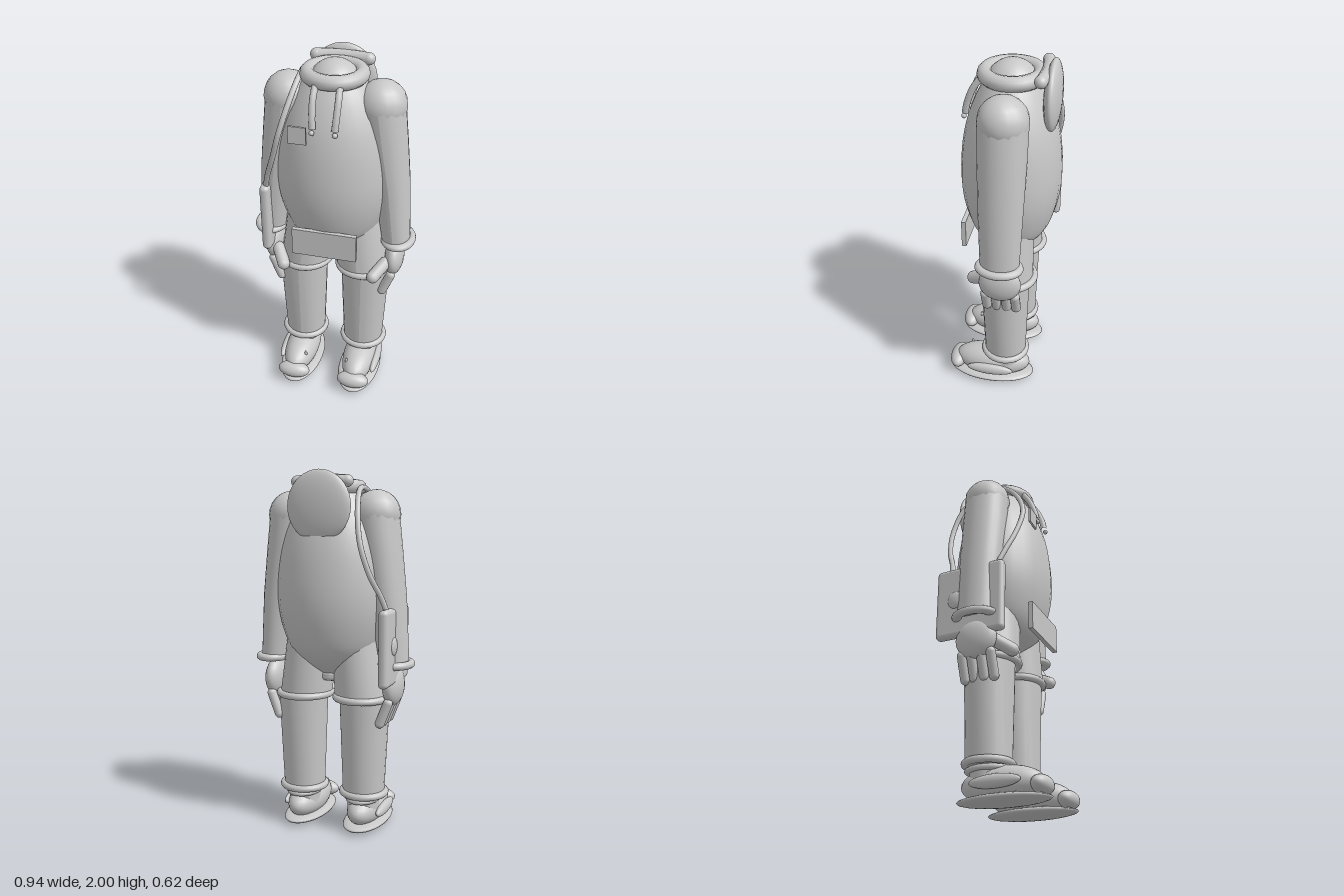
import * as THREE from 'three';
import { RoundedBoxGeometry } from 'three/addons/geometries/RoundedBoxGeometry.js';

export function createModel() {
  const model = new THREE.Group();
  model.name = 'paddedSuit';
  const grey = new THREE.MeshStandardMaterial({ color: 0xc8c8c8 });
  grey.name = 'suitGrey';
  const CZ = -0.037; // depth of the body axis

  const add = (name, geometry, parent = model) => {
    const mesh = new THREE.Mesh(geometry, grey);
    mesh.name = name;
    parent.add(mesh);
    return mesh;
  };

  // Ellipsoid with its own radii along each axis
  const ellipsoid = (name, [x, y, z], [rx, ry, rz], parent, w = 24, h = 16) => {
    const mesh = add(name, new THREE.SphereGeometry(1, w, h), parent);
    mesh.scale.set(rx, ry, rz);
    mesh.position.set(x, y, z);
    return mesh;
  };

  // Flat ring; rx and rz are radii of the tube's centre line
  const ring = (name, [x, y, z], rx, rz, tube, parent) => {
    const g = new THREE.TorusGeometry(rx, tube, 12, 36).rotateX(Math.PI / 2).scale(1, 1, rz / rx);
    add(name, g, parent).position.set(x, y, z);
  };

  // Upright tapered limb through stations [y, centre x, rx, rz], listed from the bottom, capped flat
  const limb = (name, stations, parent) => {
    const first = stations[0], last = stations[stations.length - 1];
    const rows = [[first[0], first[1], 0, 0], first, ...stations, last, [last[0], last[1], 0, 0]];
    const g = new THREE.LatheGeometry(rows.map(r => new THREE.Vector2(1, r[0])), 24);
    const p = g.attributes.position;
    for (let i = 0; i < p.count; i++) {
      const [, cx, rx, rz] = rows[i % rows.length];
      p.setX(i, cx + rx * p.getX(i));
      p.setZ(i, CZ + rz * p.getZ(i));
    }
    g.computeVertexNormals();
    add(name, g, parent);
  };

  // Round-ended rod between two points
  const rod = (name, a, b, r, parent) => {
    const from = new THREE.Vector3(...a), to = new THREE.Vector3(...b);
    const mesh = add(name, new THREE.CapsuleGeometry(r, from.distanceTo(to), 6, 14), parent);
    mesh.position.copy(from).lerp(to, 0.5);
    mesh.quaternion.setFromUnitVectors(new THREE.Vector3(0, 1, 0), to.sub(from).normalize());
  };

  const tube = (name, points, r, n = 20) => {
    const curve = new THREE.CatmullRomCurve3(points.map(p => new THREE.Vector3(...p)));
    add(name, new THREE.TubeGeometry(curve, n, r, 10));
  };

  // Egg-shaped torso
  const profile = new THREE.SplineCurve([
    [0.08, 0.89], [0.17, 0.95], [0.235, 1.02], [0.275, 1.1], [0.308, 1.22], [0.32, 1.35],
    [0.31, 1.5], [0.288, 1.62], [0.255, 1.72], [0.205, 1.82], [0.15, 1.9],
  ].map(p => new THREE.Vector2(...p))).getPoints(30);
  const torso = new THREE.LatheGeometry(
    [new THREE.Vector2(0, 0.89), ...profile, new THREE.Vector2(0, 1.91)], 28);
  add('torso', torso.scale(1, 1, 0.85)).position.z = CZ;
  ellipsoid('pelvis', [0, 0.89, CZ], [0.09, 0.04, 0.09]);
  ring('pelvisRing', [0, 0.88, CZ], 0.065, 0.065, 0.025);

  // Neck ring and the dome inside it
  ring('neckRing', [0, 1.915, CZ], 0.14, 0.14, 0.04);
  ellipsoid('neckDome', [0, 1.85, CZ], [0.14, 0.14, 0.14]);

  // Rounded pack and roll behind the neck
  ellipsoid('backPack', [0, 1.812, -0.246], [0.18, 0.188, 0.046], model, 32, 20);
  const roll = new THREE.CatmullRomCurve3(
    [[-0.14, -0.2], [-0.08, -0.21], [0, -0.215], [0.08, -0.21], [0.14, -0.2]]
      .map(([x, z]) => new THREE.Vector3(x, 1.94, z)));
  add('neckRoll', new THREE.TubeGeometry(roll, 20, 0.033, 12));
  for (const s of [-1, 1]) ellipsoid('neckRollEnd', [s * 0.14, 1.94, -0.2], [0.035, 0.033, 0.033]);

  // Chest cords, patch and belt plate
  for (const s of [-1, 1]) {
    tube('chestCord', [[s * 0.063, 1.9, 0.115], [s * 0.065, 1.84, 0.155], [s * 0.062, 1.76, 0.186],
      [s * 0.058, 1.705, 0.198]], 0.018);
    ellipsoid('cordBead', [s * 0.06, 1.685, 0.205], [0.014, 0.014, 0.014], model, 12, 8);
  }
  add('chestPatch', new THREE.BoxGeometry(0.095, 0.095, 0.012)).position.set(-0.137, 1.663, 0.203);
  add('beltPlate', new THREE.BoxGeometry(0.36, 0.16, 0.025)).position.set(0, 1.017, 0.2);

  // Side case with its dial, and the hose looping over the shoulder
  add('sideCase', new RoundedBoxGeometry(0.055, 0.415, 0.4, 4, 0.025)).position.set(-0.363, 1.073, -0.07);
  ellipsoid('caseDial', [-0.388, 1.08, -0.15], [0.016, 0.05, 0.045]);
  tube('hose', [[-0.365, 1.25, 0.08], [-0.335, 1.36, 0.12], [-0.285, 1.5, 0.165], [-0.237, 1.66, 0.185],
    [-0.195, 1.81, 0.125], [-0.172, 1.9, 0.03], [-0.18, 1.9, -0.11], [-0.205, 1.79, -0.215],
    [-0.237, 1.62, -0.265], [-0.285, 1.46, -0.25], [-0.335, 1.34, -0.205], [-0.365, 1.25, -0.185]], 0.015, 80);

  for (const s of [-1, 1]) {
    // Arm, cuff and hand
    const arm = new THREE.Group();
    arm.name = s > 0 ? 'leftArm' : 'rightArm';
    model.add(arm);
    ellipsoid('shoulder', [s * 0.248, 1.77, CZ], [0.132, 0.132, 0.132], arm, 16, 12);
    limb('sleeve', [[0.97, s * 0.357, 0.08, 0.107], [1.33, s * 0.318, 0.1, 0.12],
      [1.58, s * 0.278, 0.115, 0.127], [1.77, s * 0.25, 0.122, 0.13]], arm);
    ring('cuff', [s * 0.37, 0.968, CZ], 0.077, 0.103, 0.022, arm);
    ellipsoid('palm', [s * 0.355, 0.845, CZ], [0.055, 0.112, 0.117], arm);
    for (const z of [0.046, -0.01, -0.066, -0.12])
      rod('finger', [s * 0.35, 0.76, z], [s * 0.305, 0.643, z], 0.027, arm);
    rod('thumb', [s * 0.315, 0.84, 0.05], [s * 0.262, 0.79, 0.13], 0.036, arm);

    // Leg with knee and ankle rings
    const leg = new THREE.Group();
    leg.name = s > 0 ? 'leftLeg' : 'rightLeg';
    model.add(leg);
    limb('thigh', [[0.76, s * 0.168, 0.15, 0.155], [1.1, s * 0.135, 0.135, 0.145]], leg);
    ring('kneeRing', [s * 0.172, 0.768, CZ - 0.005], 0.145, 0.155, 0.02, leg);
    limb('shin', [[0.2, s * 0.183, 0.118, 0.122], [0.77, s * 0.187, 0.143, 0.138]], leg);
    ring('ankleRing', [s * 0.185, 0.215, CZ], 0.122, 0.122, 0.02, leg);
    limb('ankle', [[0.1, s * 0.183, 0.09, 0.1], [0.21, s * 0.183, 0.09, 0.1]], leg);
    ring('bootTopRing', [s * 0.183, 0.183, CZ], 0.085, 0.11, 0.016, leg);

    // Boot
    const x = s * 0.184;
    ellipsoid('sole', [x, 0.028, 0.047], [0.125, 0.028, 0.257], leg, 36, 12);
    ellipsoid('bootUpper', [x, 0.105, 0.042], [0.1, 0.097, 0.228], leg, 28, 18);
    ellipsoid('toeCap', [x, 0.086, 0.254], [0.097, 0.048, 0.052], leg);
    ellipsoid('bootSidePad', [s * 0.285, 0.102, 0.042], [0.027, 0.036, 0.14], leg);
    ellipsoid('bootStud', [s * 0.128, 0.158, 0.18], [0.009, 0.02, 0.009], leg, 10, 8);
  }
  return model;
}
